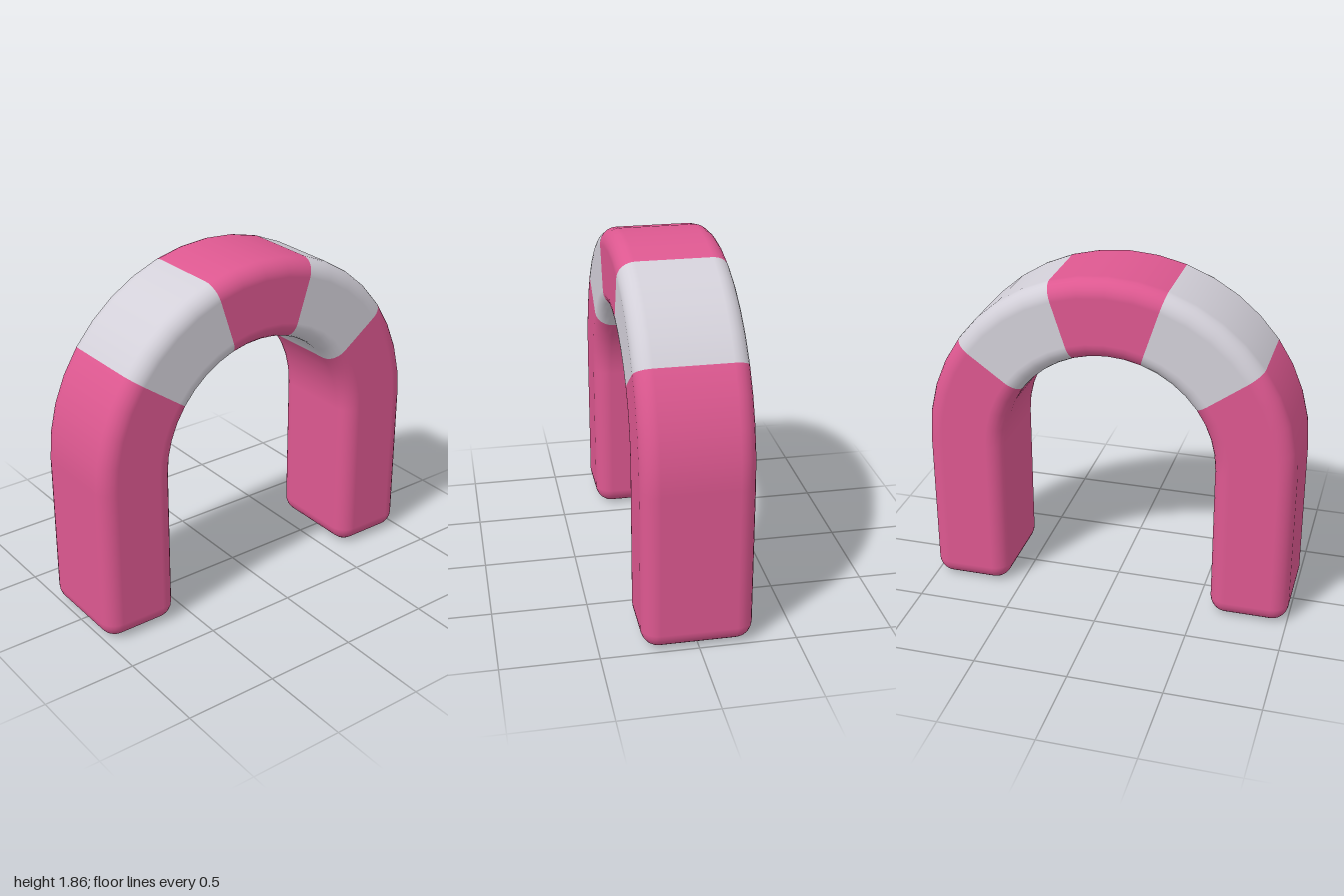
import * as THREE from 'three';

const DEG = Math.PI / 180;
const SPRING = 0.857;            // height where the legs meet the arch
const MID = 0.787;               // radius of the arch's centre line
const HALF_W = 0.213, HALF_D = 0.285, ROUND = 0.09;
const CORNER_STEPS = 6;

// Sweeps a rounded rectangle through stations; normals are exact so bands join smoothly.
// A station has the arch angle, the height of its origin and the foot rounding angle.
function sweep(stations, capped) {
  const pos = [], nor = [], idx = [];
  const count = 4 * (CORNER_STEPS + 1);
  for (const { angle, y, foot } of stations) {
    const c = Math.cos(angle), s = Math.sin(angle);
    const cf = Math.cos(foot), sf = Math.sin(foot);
    for (let k = 0; k < 4; k++) {
      const su = k === 0 || k === 3 ? 1 : -1, sz = k < 2 ? 1 : -1;
      for (let i = 0; i <= CORNER_STEPS; i++) {
        const phi = (k + i / CORNER_STEPS) * Math.PI / 2;
        const nu = Math.cos(phi) * cf, nz = Math.sin(phi) * cf;
        const u = MID + su * (HALF_W - ROUND) + ROUND * nu;
        pos.push(u * c, y + u * s - ROUND * sf, sz * (HALF_D - ROUND) + ROUND * nz);
        nor.push(nu * c, nu * s - sf, nz);
      }
    }
  }
  for (let r = 0; r < stations.length - 1; r++) {
    for (let j = 0; j < count; j++) {
      const a = r * count + j, b = r * count + (j + 1) % count;
      idx.push(a, a + count, b, b, a + count, b + count);
    }
  }
  // Flat sole of the foot
  if (capped) {
    const centre = pos.length / 3;
    pos.push(MID, 0, 0);
    nor.push(0, -1, 0);
    for (let j = 0; j < count; j++) idx.push(centre, j, (j + 1) % count);
  }
  const g = new THREE.BufferGeometry();
  g.setAttribute('position', new THREE.Float32BufferAttribute(pos, 3));
  g.setAttribute('normal', new THREE.Float32BufferAttribute(nor, 3));
  g.setIndex(idx);
  return g;
}

// Arch stations every 9 degrees
function arc(from, to) {
  const list = [];
  for (let a = from; a <= to; a += 9) list.push({ angle: a * DEG, y: SPRING, foot: 0 });
  return list;
}

export function createModel() {
  const model = new THREE.Group();
  model.name = 'horseshoeMagnet';

  const pink = new THREE.MeshStandardMaterial({ color: 0xdd5890 });
  pink.name = 'pink';
  const grey = new THREE.MeshStandardMaterial({ color: 0xd3d0d9 });
  grey.name = 'lightGrey';

  const add = (name, geometry, material, turn = 0) => {
    const mesh = new THREE.Mesh(geometry, material);
    mesh.name = name;
    mesh.rotation.y = turn;
    model.add(mesh);
  };

  // Legs with rounded feet, running up into the arch
  const foot = [];
  for (let i = 6; i >= 0; i--) foot.push({ angle: 0, y: ROUND, foot: i * 15 * DEG });
  const leg = sweep([...foot, ...arc(0, 36)], true);
  add('leftLeg', leg, pink);
  add('rightLeg', leg, pink, Math.PI);

  // Grey shoulder bands
  const band = sweep(arc(36, 72), false);
  add('leftBand', band, grey);
  add('rightBand', band, grey, Math.PI);

  // Pink crown between the bands
  add('crown', sweep(arc(72, 108), false), pink);

  return model;
}
